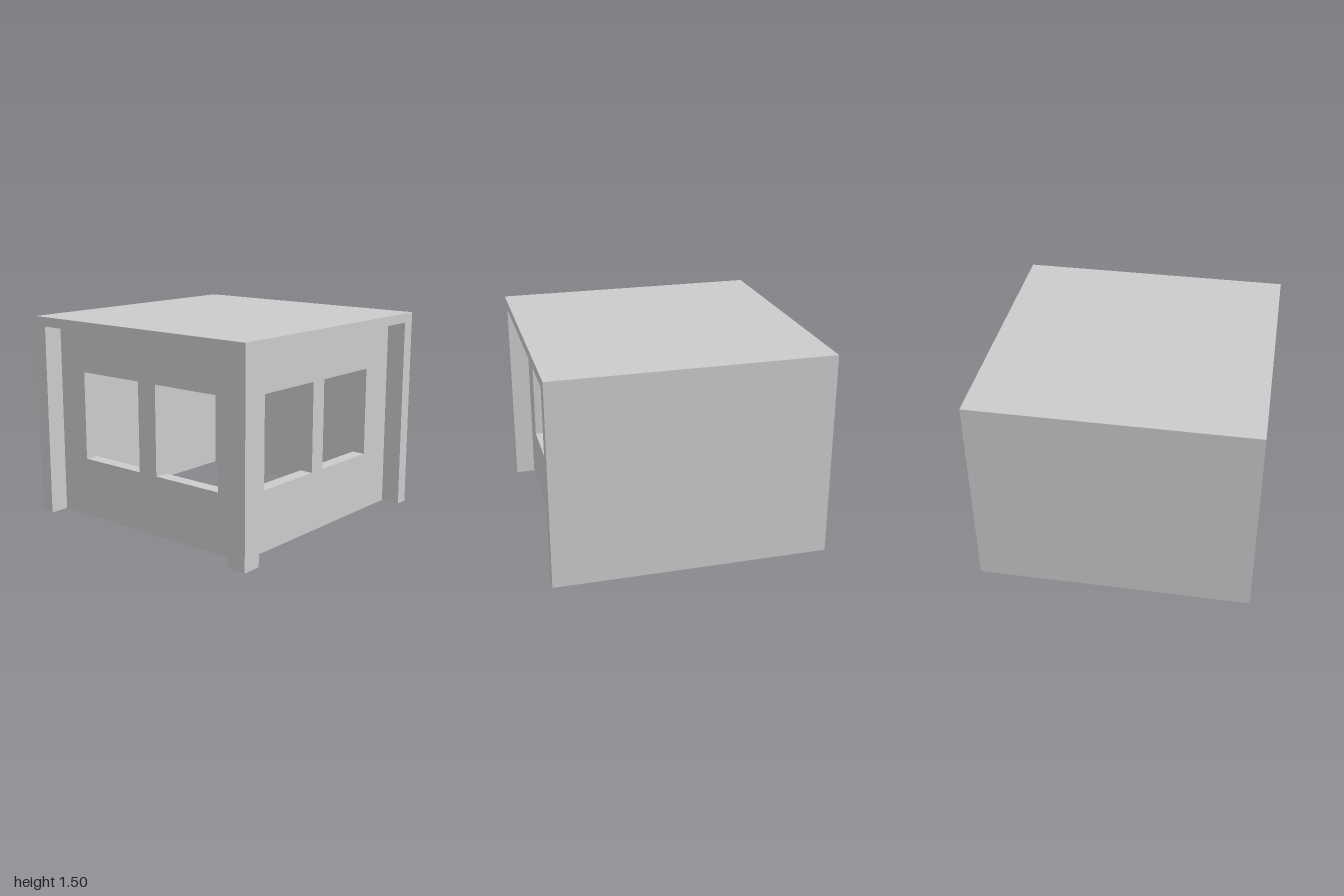
import * as THREE from 'three';

const material = new THREE.MeshStandardMaterial({ color: 0xcccccc, flatShading: true });

const OUT = 1;          // outer half width
const INNER = -0.9;     // inside of the solid walls
const FACE = 0.855;     // outside of the recessed window walls
const THICK = 0.1;      // window wall thickness
const LINTEL = 1.43;    // top of the recesses
const TOP = 1.5;
const CEILING = 1.35;

function add(group, name, geometry) {
  const mesh = new THREE.Mesh(geometry, material);
  mesh.name = name;
  group.add(mesh);
  return mesh;
}

// box given by its minimum and maximum corners
function block(x0, y0, z0, x1, y1, z1) {
  return new THREE.BoxGeometry(x1 - x0, y1 - y0, z1 - z0)
    .translate((x0 + x1) / 2, (y0 + y1) / 2, (z0 + z1) / 2);
}

function rect(path, u0, v0, u1, v1) {
  path.moveTo(u0, v0);
  path.lineTo(u1, v0);
  path.lineTo(u1, v1);
  path.lineTo(u0, v1);
  path.closePath();
  return path;
}

// upright wall with window openings, its outer face at z = FACE
function windowWall(u0, u1, windows) {
  const shape = rect(new THREE.Shape(), u0, 0, u1, LINTEL);
  for (const [a, b] of windows) shape.holes.push(rect(new THREE.Path(), a, 0.44, b, 1.1));
  return new THREE.ExtrudeGeometry(shape, { depth: THICK, bevelEnabled: false })
    .translate(0, 0, FACE - THICK);
}

export function createModel() {
  const model = new THREE.Group();
  model.name = 'building';

  // roof slab and the ceiling beneath it
  add(model, 'roof', block(-OUT, LINTEL, -OUT, OUT, TOP, OUT));
  add(model, 'ceiling', block(INNER, CEILING, INNER, FACE - THICK, LINTEL, FACE - THICK));

  // solid back and left-hand walls, one L-shaped plan raised to the roof
  const plan = new THREE.Shape([
    [-OUT, -OUT], [INNER, -OUT], [INNER, -INNER], [OUT, -INNER], [OUT, OUT], [-OUT, OUT],
  ].map(([x, y]) => new THREE.Vector2(x, y)));
  add(model, 'solidWalls', new THREE.ExtrudeGeometry(plan, { depth: LINTEL, bevelEnabled: false })
    .rotateX(-Math.PI / 2));

  // recessed walls with two windows each
  add(model, 'frontWindowWall', windowWall(INNER, FACE, [[-0.65, -0.09], [0.075, 0.65]]));
  add(model, 'sideWindowWall', windowWall(THICK - FACE, -INNER, [[-0.62, -0.07], [0.06, 0.61]])
    .rotateY(Math.PI / 2));

  // free corner post
  add(model, 'cornerPost', block(FACE, 0, FACE, OUT, LINTEL, OUT));

  return model;
}
